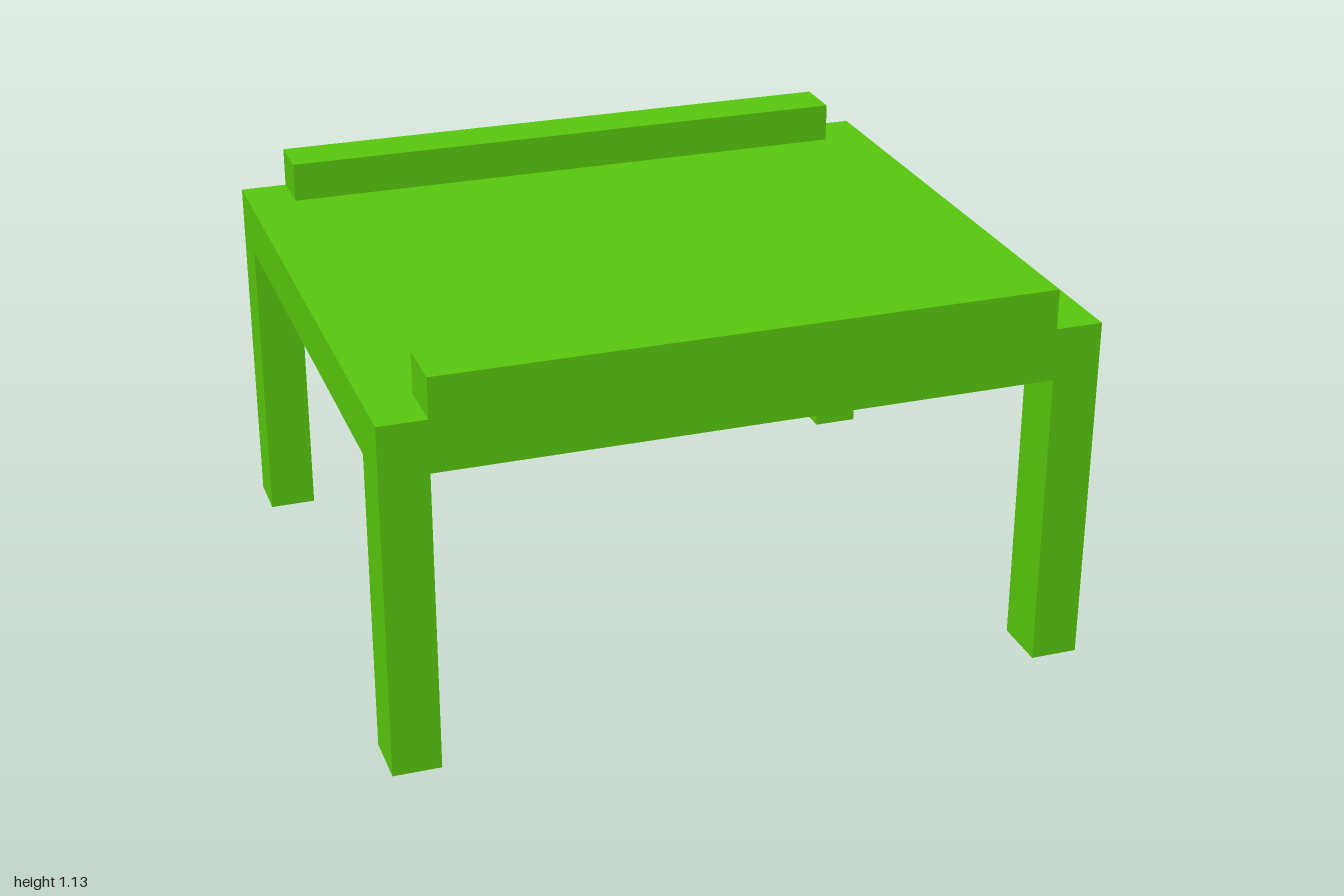
import * as THREE from 'three';

const material = new THREE.MeshStandardMaterial({ color: 0x58c80e });

// Box given by its lower and upper limits on each axis
function addBox(parent, name, [x0, x1], [y0, y1], [z0, z1]) {
  const mesh = new THREE.Mesh(new THREE.BoxGeometry(x1 - x0, y1 - y0, z1 - z0), material);
  mesh.position.set((x0 + x1) / 2, (y0 + y1) / 2, (z0 + z1) / 2);
  mesh.name = name;
  parent.add(mesh);
}

export function createModel() {
  const table = new THREE.Group();
  table.name = 'table';

  const halfWidth = 1, halfDepth = 0.88, inner = 0.865;
  const underside = 0.87, top = 1.02, railTop = 1.135;

  // Flat slab
  addBox(table, 'tableTop', [-halfWidth, halfWidth], [underside, top], [-halfDepth, halfDepth]);

  // Front and back ends: a raised rail between a pair of corner legs
  const ends = { front: [0.718, halfDepth], back: [-halfDepth, -0.732] };
  for (const [end, z] of Object.entries(ends)) {
    addBox(table, `${end}Rail`, [-inner, inner], [top, railTop], z);
    addBox(table, `${end}LeftLeg`, [inner, halfWidth], [0, underside], z);
    addBox(table, `${end}RightLeg`, [-halfWidth, -inner], [0, underside], z);
  }
  return table;
}
